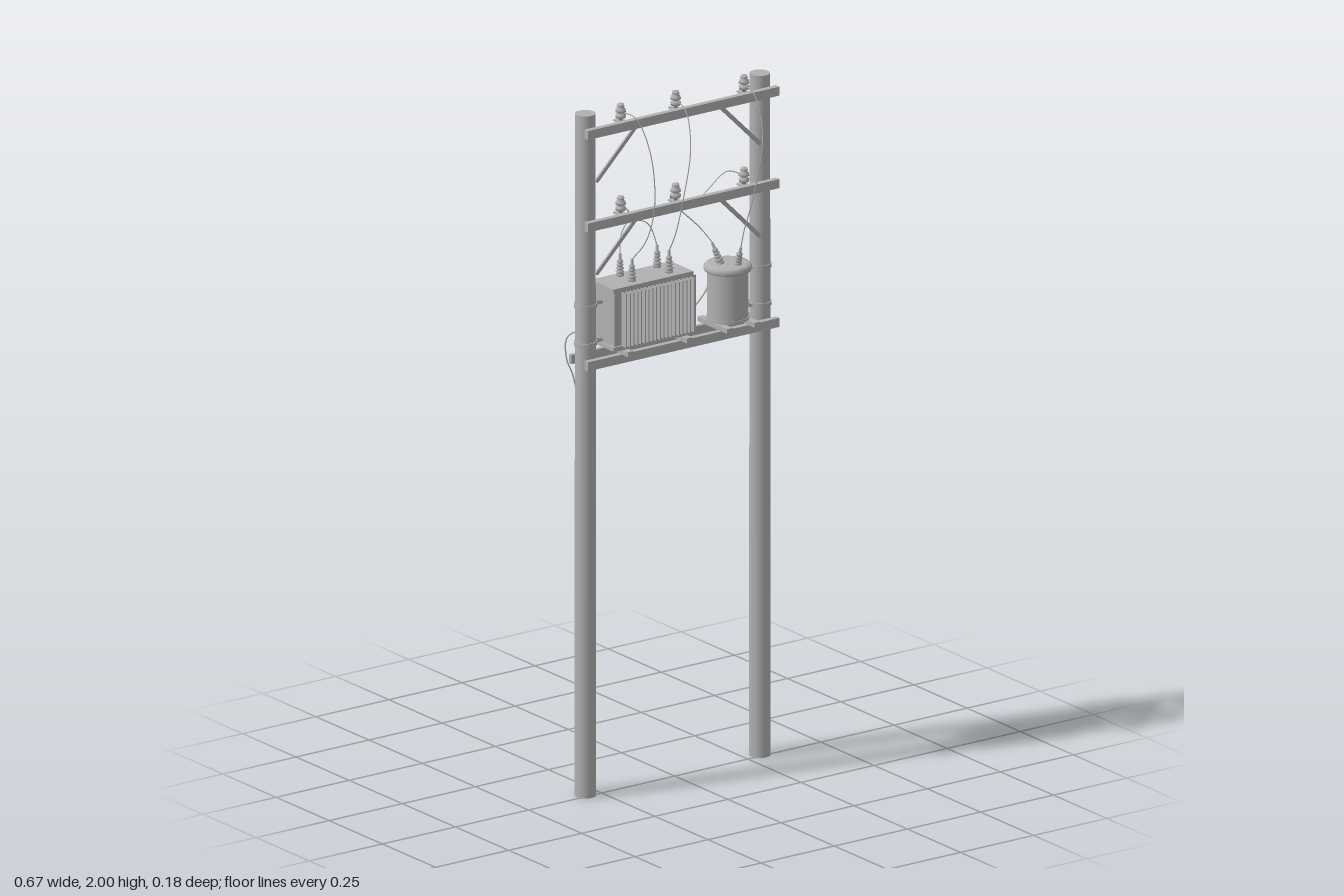
import * as THREE from 'three';

const steel = new THREE.MeshStandardMaterial({ color: 0xb0b0b0 });
steel.name = 'grey steel';
const V = (a) => new THREE.Vector3(...a);

export function createModel() {
  const root = new THREE.Group();
  root.name = 'poleMountedTransformers';

  const add = (name, geo, pos = [0, 0, 0], parent = root) => {
    const m = new THREE.Mesh(geo, steel);
    m.name = name;
    m.position.set(...pos);
    parent.add(m);
    return m;
  };
  // Box given by its min and max corners
  const box = (name, a, b) => add(name,
    new THREE.BoxGeometry(b[0] - a[0], b[1] - a[1], b[2] - a[2]),
    a.map((v, i) => (v + b[i]) / 2));
  const lathe = (pts, seg) => new THREE.LatheGeometry(pts.map((p) => new THREE.Vector2(...p)), seg);
  // Bar with a square section between two points
  const bar = (name, a, b, w, d) => {
    const p = V(a), q = V(b);
    const m = add(name, new THREE.BoxGeometry(w, p.distanceTo(q), d), p.clone().lerp(q, 0.5).toArray());
    m.quaternion.setFromUnitVectors(new THREE.Vector3(0, 1, 0), q.sub(p).normalize());
    return m;
  };
  const wire = (name, pts, r = 0.0016) => add(name,
    new THREE.TubeGeometry(new THREE.CatmullRomCurve3(pts.map(V)), pts.length * 8, r, 6));

  // Poles with their clamp bands
  const poleZ = -0.012;
  for (const [side, x] of [['right', -0.297], ['left', 0.3]]) {
    add(side + 'Pole', new THREE.CylinderGeometry(0.0285, 0.03, 1.99, 28), [x, 0.995, poleZ]);
    for (const y of [1.32, 1.43]) {
      add(side + 'PoleBand', new THREE.CylinderGeometry(0.032, 0.032, 0.012, 28), [x, y, poleZ]);
      const s = -Math.sign(x);
      for (const dz of [-0.007, 0.007]) {
        bar(side + 'BandArm', [x + s * 0.028, y, poleZ + dz], [x + s * 0.056, y, poleZ + dz / 2], 0.008, 0.003);
      }
    }
  }

  // Horizontal beams
  for (const y of [1.93, 1.66]) box('crossArm', [-0.323, y, 0.019], [0.332, y + 0.026, 0.036]);
  box('frontPlatformBeam', [-0.323, 1.255, 0.019], [0.332, 1.281, 0.036]);
  box('backPlatformBeam', [-0.323, 1.255, -0.054], [0.328, 1.281, -0.041]);

  // Bearers across the platform
  for (const x of [-0.197, 0.005, 0.143, 0.236]) {
    box('bearer', [x - 0.01, 1.281, -0.075], [x + 0.01, 1.295, 0.064]);
  }

  // Diagonal braces and pin insulators on both cross arms
  const insulator = lathe([[0, 0], [0.005, 0], [0.005, 0.006], [0.014, 0.008], [0.015, 0.016], [0.009, 0.02],
    [0.009, 0.023], [0.015, 0.025], [0.014, 0.033], [0.008, 0.037], [0.011, 0.041], [0.009, 0.048], [0, 0.049]], 16);
  const pinX = [-0.185, 0.003, 0.237];
  for (const y of [1.93, 1.66]) {
    for (const s of [-1, 1]) bar('brace', [s * 0.28, y - 0.135, 0.016], [s * 0.138, y + 0.006, 0.016], 0.011, 0.006);
    for (const x of pinX) {
      box('pinBracket', [x - 0.0125, y + 0.016, -0.018], [x + 0.0125, y + 0.021, 0.02]);
      add('pinInsulator', insulator, [x, y + 0.021, 0]);
    }
  }

  // Large rectangular transformer
  box('tank', [-0.236, 1.295, -0.056], [0.026, 1.47, 0.041]);
  box('tankLid', [-0.243, 1.468, -0.062], [0.031, 1.48, 0.046]);
  box('tankRim', [-0.243, 1.3, -0.062], [0.031, 1.31, 0.046]);
  for (let i = 0; i < 19; i++) {
    const x = -0.21 + i * 0.0129;
    box('frontFin', [x - 0.0017, 1.308, 0.04], [x + 0.0017, 1.465, 0.062]);
    box('backFin', [x - 0.0017, 1.308, -0.077], [x + 0.0017, 1.465, -0.055]);
  }
  for (let i = 0; i < 9; i++) {
    const z = -0.053 + i * 0.0112;
    box('sideFin', [0.025, 1.315, z - 0.0015], [0.045, 1.465, z + 0.0015]);
  }

  // Drum transformer
  const drum = [0.19, 0, poleZ];
  add('drumBody', new THREE.CylinderGeometry(0.058, 0.058, 0.15, 36), [drum[0], 1.37, drum[2]]);
  add('drumLid', lathe([[0.056, 1.438], [0.065, 1.438], [0.067, 1.442], [0.067, 1.451], [0.062, 1.457],
    [0.05, 1.46], [0, 1.462]], 36), drum);
  add('drumFoot', new THREE.CylinderGeometry(0.06, 0.06, 0.008, 36), [drum[0], 1.3, drum[2]]);

  // Ribbed bushings, upright on the tank and tilted on the drum
  const ribs = [[0, 0], [0.011, 0], [0.011, 0.008]];
  for (let i = 0; i < 4; i++) ribs.push([0.007, 0.01 + i * 0.01], [0.0125 - i * 0.001, 0.014 + i * 0.01], [0.007, 0.018 + i * 0.01]);
  ribs.push([0.004, 0.051], [0.004, 0.066], [0, 0.067]);
  const bushing = lathe(ribs, 14);
  for (const x of [-0.156, -0.029]) for (const z of [-0.043, 0.013]) add('tankBushing', bushing, [x, 1.478, z]);
  const tiltBushing = (pos, rx, rz) => add('drumBushing', bushing, pos).rotation.set(rx, 0, rz);
  tiltBushing([0.166, 1.458, -0.012], -0.2, 0.3);
  tiltBushing([0.196, 1.452, 0.022], 0.3, 0);

  // Wires from the upper insulators, bowing out in front
  wire('upperWire', [[-0.185, 1.975, 0], [-0.165, 1.965, 0.04], [-0.135, 1.87, 0.068], [-0.117, 1.7, 0.066],
    [-0.135, 1.6, 0.05], [-0.156, 1.542, 0.013]]);
  wire('upperWire', [[0.003, 1.975, 0], [0.006, 1.95, 0.045], [0.002, 1.85, 0.072], [-0.02, 1.7, 0.066],
    [-0.03, 1.6, 0.045], [-0.029, 1.542, 0.013]]);
  wire('upperWire', [[0.237, 1.975, 0], [0.244, 1.95, 0.04], [0.24, 1.84, 0.084], [0.215, 1.67, 0.075],
    [0.198, 1.57, 0.055], [0.196, 1.517, 0.042]]);

  // Wires from the lower insulators, running behind
  wire('lowerWire', [[-0.185, 1.705, 0], [-0.14, 1.67, -0.026], [-0.115, 1.635, -0.056], [-0.07, 1.62, -0.045],
    [-0.04, 1.59, -0.054], [-0.029, 1.542, -0.043]]);
  wire('lowerWire', [[0.003, 1.705, 0], [0.01, 1.68, -0.035], [0.055, 1.63, -0.054], [0.12, 1.565, -0.048],
    [0.148, 1.52, -0.024]]);
  wire('lowerWire', [[0.237, 1.705, 0], [0.2, 1.72, -0.024], [0.1, 1.655, -0.031], [0, 1.642, -0.036],
    [-0.115, 1.64, -0.045], [-0.145, 1.59, -0.055], [-0.156, 1.542, -0.043]]);

  // Earth cable from the drum, under the platform and down the pole
  wire('earthCable', [[0.19, 1.42, -0.07], [0.19, 1.41, -0.085], [0.17, 1.36, -0.087], [0.1, 1.3, -0.086],
    [0, 1.25, -0.08], [-0.12, 1.235, -0.065], [-0.25, 1.225, -0.047], [-0.29, 1.18, -0.045], [-0.297, 1.03, -0.043]], 0.0024);
  wire('earthLoop', [[-0.236, 1.33, -0.045], [-0.29, 1.345, -0.048], [-0.328, 1.33, -0.055], [-0.331, 1.27, -0.054],
    [-0.315, 1.22, -0.046], [-0.302, 1.15, -0.044], [-0.299, 1.03, -0.043]], 0.002);

  return root;
}
